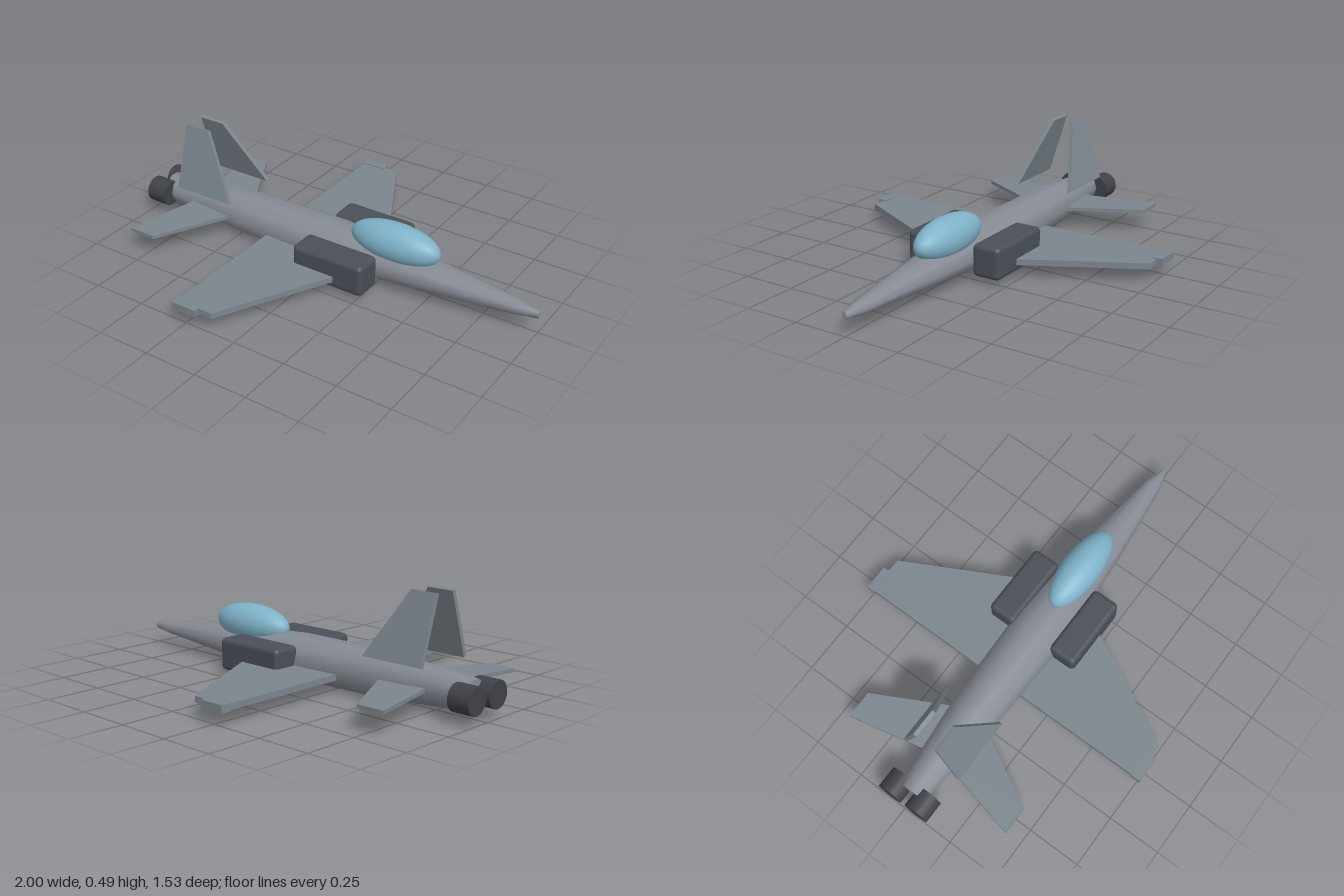
import * as THREE from 'three';
import { RoundedBoxGeometry } from 'three/addons/geometries/RoundedBoxGeometry.js';

const mat = (name, color) => {
  const m = new THREE.MeshStandardMaterial({ color });
  m.name = name;
  return m;
};

// Loft of ten-sided rings along x; each section is [x, centreY, radiusY, radiusZ]
function loft(sections, sides = 10) {
  const pos = [], idx = [];
  sections.forEach(([x, cy, ry, rz], i) => {
    for (let j = 0; j < sides; j++) {
      const t = ((j + 0.5) / sides) * Math.PI * 2;
      pos.push(x, cy + ry * Math.cos(t), rz * Math.sin(t));
      if (i === sections.length - 1) continue;
      const a = i * sides + j, c = i * sides + ((j + 1) % sides);
      idx.push(a, c, a + sides, a + sides, c, c + sides);
    }
  });
  const g = new THREE.BufferGeometry();
  g.setAttribute('position', new THREE.Float32BufferAttribute(pos, 3));
  g.setIndex(idx);
  g.computeVertexNormals();
  return g;
}

// Flat plate cut from an outline
function plate(points, depth) {
  const shape = new THREE.Shape(points.map(([x, y]) => new THREE.Vector2(x, y)));
  return new THREE.ExtrudeGeometry(shape, { depth, bevelEnabled: false });
}

// Horizontal plate: outline in x and z, top face at height top
const wingPlate = (points, s, top, thick) =>
  plate(points.map(([x, z]) => [x, z * s]), thick).rotateX(Math.PI / 2).translate(0, top, 0);

export function createModel() {
  const group = new THREE.Group();
  group.name = 'jetAircraft';
  const hull = mat('hullGrey', 0x868a93);
  const wing = mat('wingGrey', 0x7c858d);
  const intake = mat('intakeGrey', 0x4a4f57);
  const engine = mat('engineGrey', 0x3f4247);
  const glass = mat('canopyBlue', 0x7fb2c8);
  const add = (name, geometry, material) => {
    const m = new THREE.Mesh(geometry, material);
    m.name = name;
    group.add(m);
    return m;
  };

  // Fuselage, tail to nose; end rings are doubled to keep the caps crisp
  const tail = [-0.94, 0.1, 0.066, 0.068], nose = [1, 0.088, 0.017, 0.012];
  add('fuselage', loft([
    [-0.94, 0.1, 0, 0], tail, tail,
    [-0.5, 0.1, 0.1, 0.112],
    [0, 0.098, 0.102, 0.13],
    [0.5, 0.097, 0.068, 0.09],
    [0.9, 0.091, 0.032, 0.04],
    nose, nose, [1, 0.088, 0, 0],
  ]), hull);

  // Canopy
  add('canopy', new THREE.SphereGeometry(1, 32, 20).scale(0.22, 0.09, 0.088), glass)
    .position.set(0.31, 0.2, 0);

  for (const s of [1, -1]) {
    const side = s > 0 ? 'Left' : 'Right';
    const label = (part) => part + side;

    // Air intake
    add(label('intake'), new RoundedBoxGeometry(0.355, 0.147, 0.135, 3, 0.022), intake)
      .position.set(0.103, 0.101, 0.167 * s);

    // Main wing and tip rail
    add(label('wing'), wingPlate(
      [[-0.305, 0.06], [0.2, 0.1], [0.14, 0.232], [-0.125, 0.737], [-0.305, 0.737]], s, 0.088, 0.027), wing);
    add(label('wingTipRail'), new THREE.BoxGeometry(0.12, 0.034, 0.046), wing)
      .position.set(-0.25, 0.075, 0.741 * s);

    // Horizontal tail
    add(label('tailplane'), wingPlate(
      [[-0.75, 0.05], [-0.51, 0.06], [-0.705, 0.433], [-0.835, 0.433]], s, 0.108, 0.017), wing);

    // Inward-canted tail fin
    const fin = add(label('tailFin'), plate(
      [[-0.785, 0], [-0.482, 0], [-0.66, 0.302], [-0.785, 0.302]], 0.018).translate(0, 0, -0.009), wing);
    fin.position.set(0, 0.203, 0.142 * s);
    fin.rotation.x = -s * Math.atan2(0.09, 0.29);

    // Engine nozzle
    add(label('nozzle'), new THREE.CylinderGeometry(0.06, 0.06, 0.1, 20).rotateZ(Math.PI / 2), engine)
      .position.set(-0.95, 0.1, 0.071 * s);
  }
  return group;
}
